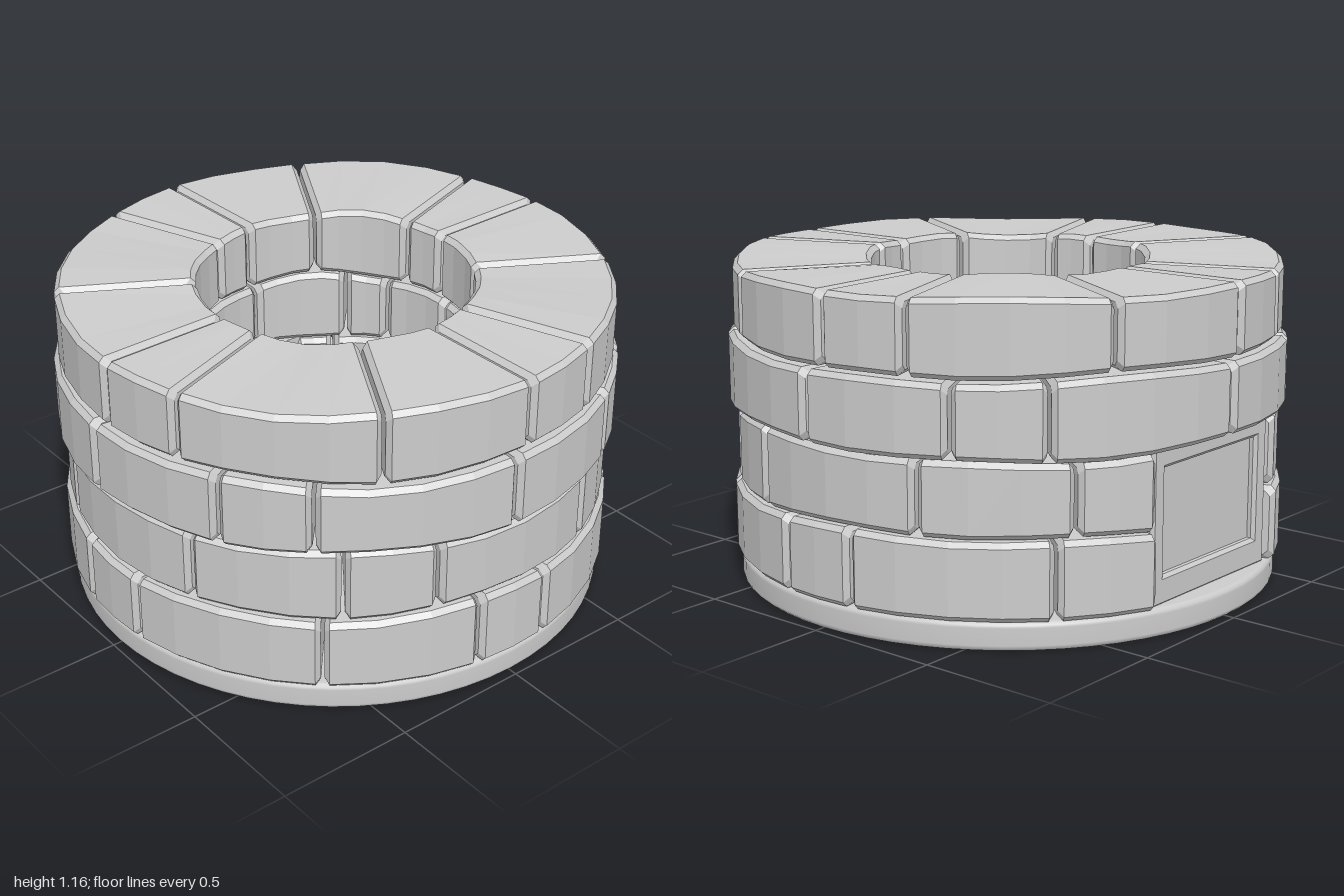
import * as THREE from 'three';

const material = new THREE.MeshStandardMaterial({ color: 0xcccccc, flatShading: true });
const smooth = new THREE.MeshStandardMaterial({ color: 0xcccccc, side: THREE.DoubleSide });
const RAD = Math.PI / 180;
const CHAMFER = 0.018, GAP = 0.006, INNER = 0.49;

// joint angles (degrees from the front) repeat every quarter turn
const COURSES = [
  { name: 'firstCourse', y0: 0.1, y1: 0.366, radius: 0.99, joints: [8, 49, 81] },
  { name: 'secondCourse', y0: 0.37, y1: 0.63, radius: 0.975, joints: [22, 53, 72] },
  { name: 'thirdCourse', y0: 0.637, y1: 0.893, radius: 1.0, joints: [29, 47.5, 88] },
  { name: 'topCourse', y0: 0.9, y1: 1.152, radius: 0.98, joints: [1.5, 20, 60.5] },
];
const OPENING = [160, 201];

// gentle unevenness of each bed joint
function wobble(level, deg) {
  if (level === 0) return 0;
  const a = deg * RAD;
  return 0.006 * Math.sin(3 * a + level * 1.9) + 0.005 * Math.sin(7 * a + level * 2.7);
}

function mesh(name, geometry, mat = material) {
  const m = new THREE.Mesh(geometry, mat);
  m.name = name;
  return m;
}

// curved stone: chamfered cross-sections swept around the y axis
function stoneGeometry(course, level, from, to) {
  const { y0, y1, radius } = course;
  const count = Math.max(2, Math.round((to - from) / 10));
  const stations = [];
  for (let i = 0; i <= count; i++) {
    const deg = from + (to - from) * i / count;
    if (i === 0) stations.push([deg, GAP, CHAMFER], [deg, GAP + CHAMFER, 0]);
    else if (i === count) stations.push([deg, -GAP - CHAMFER, 0], [deg, -GAP, CHAMFER]);
    else stations.push([deg, 0, 0]);
  }
  const rings = stations.map(([deg, shift, inset]) => {
    const r0 = INNER + inset, r1 = radius - inset, c = CHAMFER;
    const b = y0 + wobble(level, deg) + inset, t = y1 + wobble(level + 1, deg) - inset;
    const section = [
      [r1 - c, b], [r1, b + c], [r1, t - c], [r1 - c, t],
      [r0 + c, t], [r0, t - c], [r0, b + c], [r0 + c, b],
    ];
    return section.map(([r, y]) => {
      const a = deg * RAD + shift / r;
      return [r * Math.sin(a), y, r * Math.cos(a)];
    });
  });
  const pos = [];
  const tri = (...pts) => pts.forEach((p) => pos.push(...p));
  for (let s = 0; s < rings.length - 1; s++) {
    for (let i = 0; i < 8; i++) {
      const j = (i + 1) % 8, p = rings[s], q = rings[s + 1];
      tri(p[i], q[i], q[j]);
      tri(p[i], q[j], p[j]);
    }
  }
  const first = rings[0], last = rings[rings.length - 1];
  for (let i = 1; i < 7; i++) {
    tri(first[0], first[i], first[i + 1]);
    tri(last[0], last[i + 1], last[i]);
  }
  const g = new THREE.BufferGeometry();
  g.setAttribute('position', new THREE.Float32BufferAttribute(pos, 3));
  g.computeVertexNormals();
  return g;
}

function buildCourse(course, level) {
  const group = new THREE.Group();
  group.name = course.name;
  const joints = [];
  for (let q = 0; q < 4; q++) course.joints.forEach((j) => joints.push(j + q * 90));
  joints.forEach((start, i) => {
    let from = start, to = i < joints.length - 1 ? joints[i + 1] : joints[0] + 360;
    // the two lower courses stop at the rear opening
    if (level < 2 && to > OPENING[0] && from < OPENING[1]) {
      if (from < OPENING[0]) to = OPENING[0];
      else from = OPENING[1];
    }
    if (to - from > 5) group.add(mesh('stone', stoneGeometry(course, level, from, to)));
  });
  return group;
}

function rectangle(target, x, y0, y1) {
  target.moveTo(-x, y0);
  target.lineTo(x, y0);
  target.lineTo(x, y1);
  target.lineTo(-x, y1);
  target.closePath();
  return target;
}

// recessed framed panel filling the opening at the back
function buildRearPanel() {
  const group = new THREE.Group();
  group.name = 'rearPanel';
  const shape = rectangle(new THREE.Shape(), 0.325, 0.105, 0.635);
  shape.holes.push(rectangle(new THREE.Path(), 0.28, 0.185, 0.575));
  const frame = mesh('panelFrame', new THREE.ExtrudeGeometry(shape, {
    depth: 0.04, bevelEnabled: true, bevelSize: 0.012, bevelThickness: 0.012, bevelSegments: 1,
  }));
  frame.position.z = -0.885;
  const plate = mesh('panelPlate', new THREE.BoxGeometry(0.65, 0.53, 0.4));
  plate.position.set(0, 0.37, -0.67);
  group.add(frame, plate);
  return group;
}

// round plate and flared spout on the inside of the front wall
function buildSpout() {
  const group = new THREE.Group();
  group.name = 'spout';
  const add = (name, rTip, rWall, z0, z1, sides) => {
    const m = mesh(name, new THREE.CylinderGeometry(rWall, rTip, z1 - z0, sides));
    m.rotation.x = Math.PI / 2;
    m.position.set(0, 0.26, (z0 + z1) / 2);
    group.add(m);
  };
  add('spoutPlate', 0.19, 0.19, 0.47, 0.52, 32);
  add('spoutCollar', 0.05, 0.055, 0.45, 0.47, 12);
  add('spoutPipe', 0.036, 0.032, 0.38, 0.46, 12);
  add('spoutLip', 0.05, 0.04, 0.365, 0.39, 12);
  return group;
}

// smooth footing ring, rounded towards the hole
function buildFooting() {
  const profile = [
    [0.49, 0.1], [0.49, 0.07], [0.5, 0.04], [0.525, 0.018], [0.57, 0.008], [0.64, 0.003],
    [0.75, 0], [0.955, 0], [0.965, 0.002], [0.973, 0.01], [0.975, 0.02],
    [0.975, 0.08], [0.973, 0.09], [0.965, 0.098], [0.955, 0.1], [0.5, 0.1], [0.49, 0.1],
  ].map(([r, y]) => new THREE.Vector2(r, y));
  return mesh('footingRing', new THREE.LatheGeometry(profile, 64), smooth);
}

export function createModel() {
  const model = new THREE.Group();
  model.name = 'stoneWell';
  model.add(buildFooting());
  COURSES.forEach((course, level) => model.add(buildCourse(course, level)));
  model.add(buildRearPanel(), buildSpout());
  return model;
}
